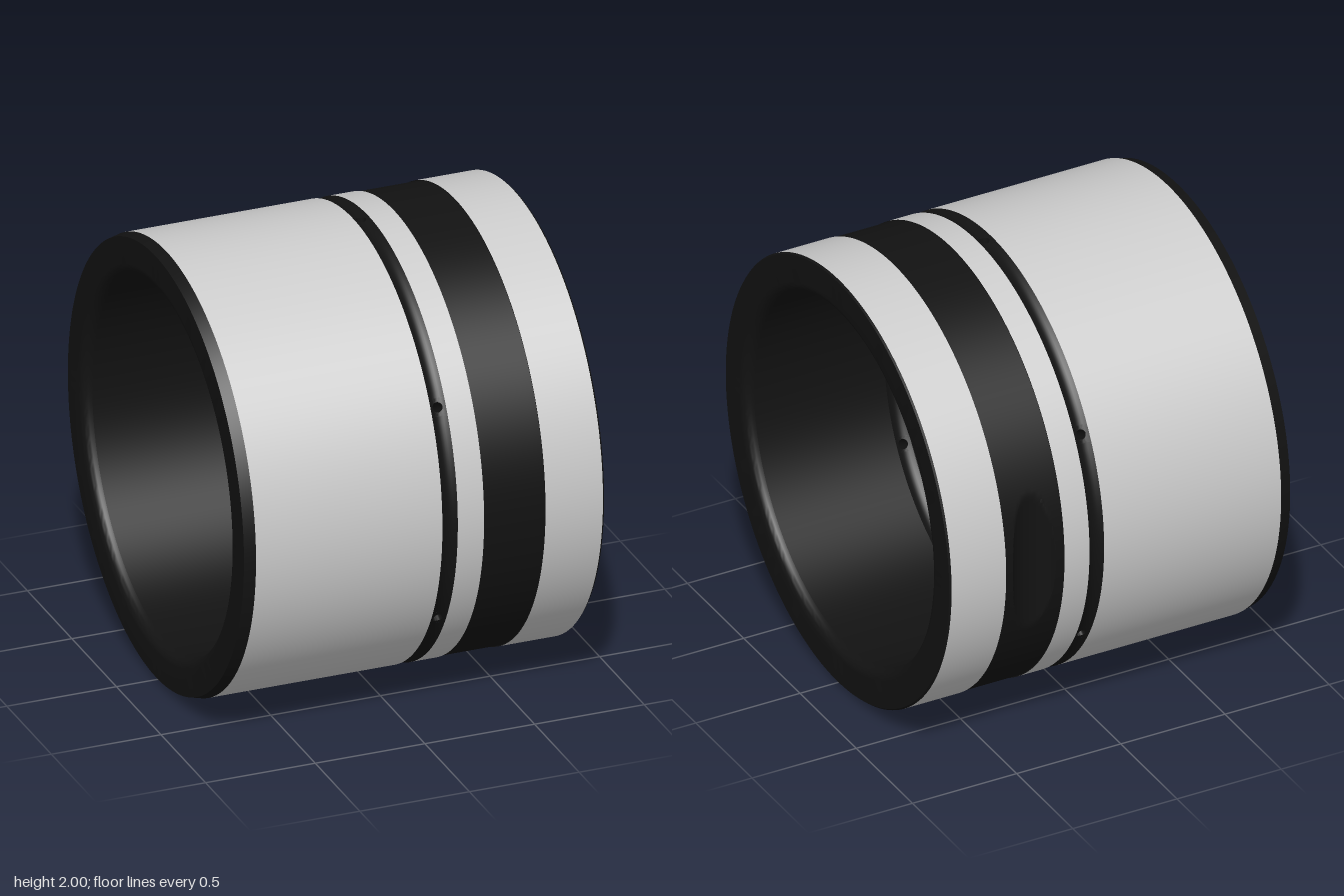
import * as THREE from 'three';
import { toCreasedNormals } from 'three/addons/utils/BufferGeometryUtils.js';

const SEGMENTS = 216;
const OUTER = 1, BORE = 0.825;
const grooveX = 0.115, grooveHalf = 0.035, grooveDepth = 0.012;
const holeRadius = 0.022, panelAngle = 0.04;

const grey = new THREE.MeshStandardMaterial({ color: 0xcccccc });
const black = new THREE.MeshStandardMaterial({ color: 0x121212 });

// Turned surface along x; points are [radius, x]
function turned(points, start = 0, length = Math.PI * 2, segments = SEGMENTS) {
  const profile = points.map(([r, x]) => new THREE.Vector2(r, x));
  return new THREE.LatheGeometry(profile, segments, start, length).rotateZ(-Math.PI / 2);
}

// Shallow hollow of the oil grooves, outside and inside
const hollow = (x) => grooveDepth * (1 - ((x - grooveX) / grooveHalf) ** 2);
const outerGroove = (x) => OUTER - hollow(x);
const innerGroove = (x) => BORE + hollow(x);

// Patch of both grooves round one drilled hole, lofted through loops
function drilledPanel(phi) {
  const N = 32, loops = [], steps = 3;
  const addLoop = (t, radiusAt) => {
    const loop = [];
    for (let i = 0; i < N; i++) {
      const a = (i / N) * Math.PI * 2, c = Math.cos(a), s = Math.sin(a);
      const m = Math.max(Math.abs(c), Math.abs(s));
      const x = grooveX + THREE.MathUtils.lerp((s / m) * grooveHalf, s * holeRadius, t);
      const r = radiusAt(x);
      const p = phi + THREE.MathUtils.lerp((c / m) * panelAngle, (c * holeRadius) / r, t);
      loop.push([x, -r * Math.sin(p), r * Math.cos(p)]);
    }
    loops.push(loop);
  };
  for (let k = 0; k <= steps; k++) addLoop(k / steps, outerGroove);
  for (let k = steps; k >= 0; k--) addLoop(k / steps, innerGroove);

  const index = [];
  for (let j = 0; j < loops.length - 1; j++) {
    for (let i = 0; i < N; i++) {
      const a = j * N + i, b = j * N + ((i + 1) % N);
      index.push(a, b, b + N, a, b + N, a + N);
    }
  }
  const geometry = new THREE.BufferGeometry();
  geometry.setAttribute('position', new THREE.Float32BufferAttribute(loops.flat(2), 3));
  geometry.setIndex(index);
  return geometry;
}

// Wide band with a round-bottomed scoop milled across its back
function scoopedBand() {
  const cx = 0.412, cz = -1.066, cr = 0.124, floor = 0.996;
  const half = Math.sqrt(cr ** 2 - (floor + cz) ** 2);
  const points = [[OUTER, 0.27], [floor, 0.27]];
  for (let i = 0; i <= 32; i++) points.push([floor, cx - half * Math.cos((i / 32) * Math.PI)]);
  points.push([floor, 0.55], [OUTER, 0.55]);

  const geometry = turned(points, 0, Math.PI * 2, 288);
  const pos = geometry.attributes.position;
  for (let i = 0; i < pos.count; i++) {
    const dx = pos.getX(i) - cx;
    if (Math.abs(dx) >= half) continue;
    const cut = cz + Math.sqrt(cr ** 2 - dx ** 2);
    if (pos.getZ(i) < cut) pos.setZ(i, cut);
  }
  return geometry;
}

export function createModel() {
  const group = new THREE.Group();
  const add = (name, geometry, material) => {
    const mesh = new THREE.Mesh(toCreasedNormals(geometry, 0.4), material);
    mesh.name = name;
    mesh.position.y = 1;
    group.add(mesh);
  };

  // Bright outer lands
  add('longLand', turned([[OUTER, -0.77], [OUTER, grooveX - grooveHalf]]), grey);
  add('narrowLand', turned([[OUTER, grooveX + grooveHalf], [OUTER, 0.27]]), grey);
  add('endLand', turned([[OUTER, 0.55], [OUTER, 0.812]]), grey);

  // Dark ends with rounded bore mouths
  const lip = 0.045, rightEnd = [[OUTER, 0.812], [0.993, 0.82]], leftEnd = [];
  for (let i = 0; i <= 8; i++) {
    const a = (i / 8) * Math.PI / 2;
    const r = BORE + lip * (1 - Math.sin(a)), x = 0.82 - lip * (1 - Math.cos(a));
    rightEnd.push([r, x]);
    leftEnd.unshift([r, -x]);
  }
  leftEnd.push([0.988, -0.82], [OUTER, -0.77]);
  add('rightEnd', turned(rightEnd), black);
  add('leftEnd', turned(leftEnd), black);

  // Bore on both sides of the inner groove
  add('boreRight', turned([[BORE, 0.775], [BORE, grooveX + grooveHalf]]), black);
  add('boreLeft', turned([[BORE, grooveX - grooveHalf], [BORE, -0.775]]), black);

  // Oil grooves with six radial holes
  const xs = Array.from({ length: 9 }, (_, i) => grooveX + grooveHalf * (i / 4 - 1));
  const outerProfile = xs.map((x) => [outerGroove(x), x]);
  const innerProfile = xs.map((x) => [innerGroove(x), x]).reverse();
  for (let k = 0; k < 6; k++) {
    const phi = Math.PI / 6 + (k * Math.PI) / 3;
    const start = phi + panelAngle, length = Math.PI / 3 - 2 * panelAngle;
    add('oilHole', drilledPanel(phi), black);
    add('outerOilGroove', turned(outerProfile, start, length, 36), black);
    add('innerOilGroove', turned(innerProfile, start, length, 36), black);
  }

  add('scoopedBand', scoopedBand(), black);
  return group;
}
